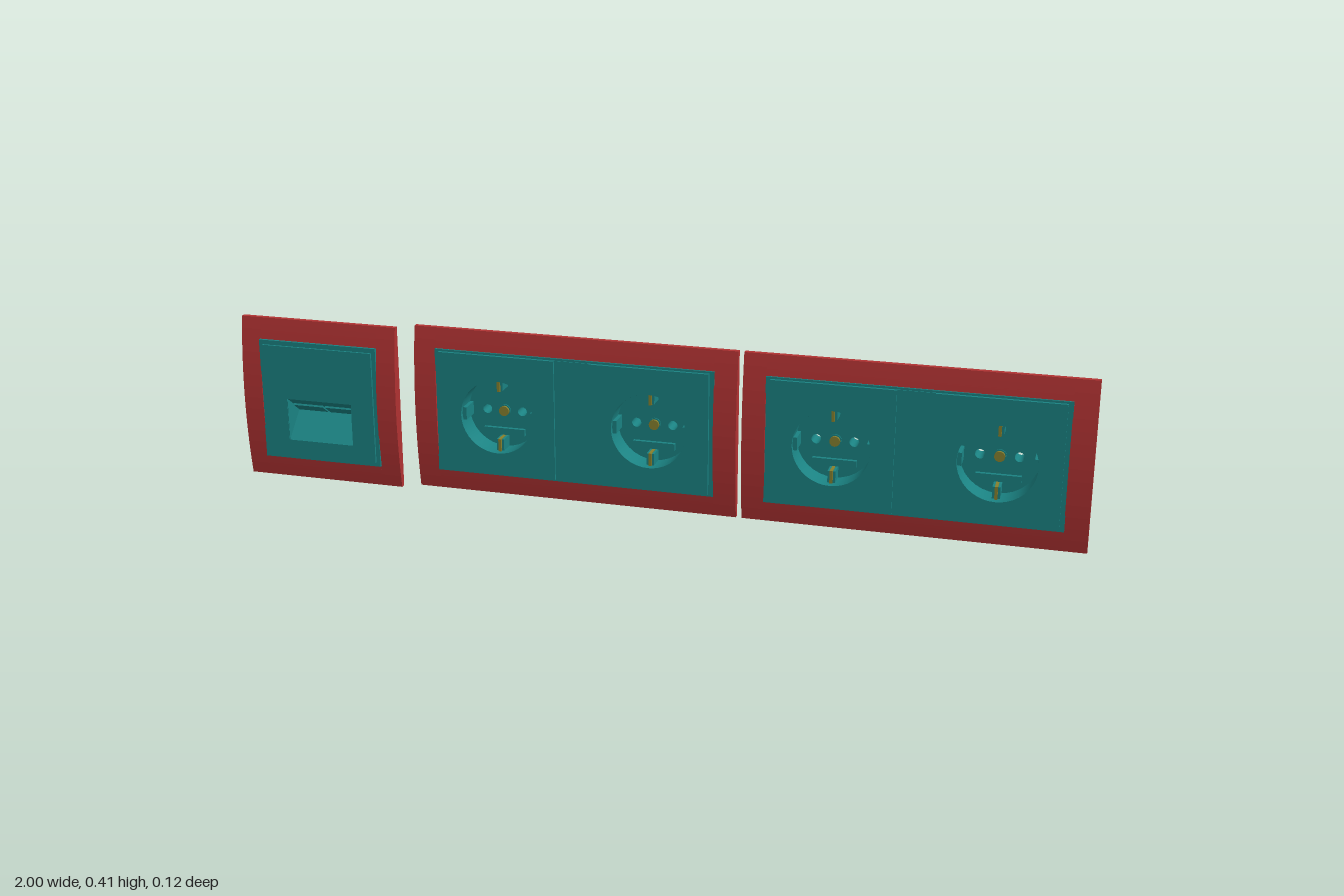
import * as THREE from 'three';

const teal = new THREE.MeshStandardMaterial({ color: 0x1a8282, side: THREE.DoubleSide });
const red = new THREE.MeshStandardMaterial({ color: 0xb03232 });
const brass = new THREE.MeshStandardMaterial({ color: 0x86802e });

function add(parent, name, geometry, material, x = 0, y = 0, z = 0) {
  const mesh = new THREE.Mesh(geometry, material);
  mesh.name = name;
  mesh.position.set(x, y, z);
  parent.add(mesh);
  return mesh;
}

// Box given by its size and the range it covers in z
function box(parent, name, material, w, h, z0, z1, x = 0, y = 0) {
  return add(parent, name, new THREE.BoxGeometry(w, h, z1 - z0), material, x, y, (z0 + z1) / 2);
}

// Cylinder lying along z
function rod(parent, name, material, r, z0, z1, x = 0, y = 0) {
  const g = new THREE.CylinderGeometry(r, r, z1 - z0, 16).rotateX(Math.PI / 2);
  return add(parent, name, g, material, x, y, (z0 + z1) / 2);
}

// Side profile of [z, y] points, extruded along x
function sideProfile(points, x0, x1) {
  const shape = new THREE.Shape(points.map(([z, y]) => new THREE.Vector2(-z, y)));
  return new THREE.ExtrudeGeometry(shape, { depth: x1 - x0, bevelEnabled: false })
    .rotateY(Math.PI / 2).translate(x0, 0, 0);
}

function rectShape(w, h, Type = THREE.Shape) {
  return new Type([[-1, -1], [1, -1], [1, 1], [-1, 1]].map(([a, b]) => new THREE.Vector2(a * w / 2, b * h / 2)));
}

function circlePath(x, y, r) {
  const p = new THREE.Path();
  p.absarc(x, y, r, 0, Math.PI * 2, true);
  return p;
}

function plate(shape, depth, curveSegments = 20) {
  return new THREE.ExtrudeGeometry(shape, { depth, bevelEnabled: false, curveSegments });
}

// Tube along z with an open bore
function tube(rOut, rIn, z0, z1, segments) {
  const pts = [[rIn, z0], [rOut, z0], [rOut, z1], [rIn, z1], [rIn, z0]].map(p => new THREE.Vector2(...p));
  return new THREE.LatheGeometry(pts, segments).rotateX(Math.PI / 2).toNonIndexed();
}

// Frame bowed from top to bottom; its back lies on z = 0
function coverFrame(w, h, openW, openH) {
  const frame = new THREE.Group();
  frame.name = 'coverFrame';
  const bar = (name, x0, x1, y0, y1) => {
    const pts = [[0, y0]];
    const steps = 14;
    for (let i = 0; i <= steps; i++) {
      const y = y0 + (y1 - y0) * i / steps;
      pts.push([0.012 + 0.016 * (1 - (2 * y / h) ** 2), y]);
    }
    pts.push([0, y1]);
    add(frame, name, sideProfile(pts, x0, x1), red);
  };
  for (const s of [-1, 1]) {
    const xs = [s * w / 2, s * openW / 2].sort((a, b) => a - b);
    const ys = [s * h / 2, s * openH / 2].sort((a, b) => a - b);
    bar(s < 0 ? 'rightFrameBar' : 'leftFrameBar', xs[0], xs[1], -h / 2, h / 2);
    bar(s < 0 ? 'bottomFrameBar' : 'topFrameBar', -openW / 2, openW / 2, ys[0], ys[1]);
  }
  return frame;
}

function socket() {
  const g = new THREE.Group();
  g.name = 'socket';
  // Face plate with the round opening
  const face = rectShape(0.28, 0.288);
  face.holes.push(circlePath(0, -0.004, 0.088));
  add(g, 'facePlate', plate(face, 0.014), teal, 0, 0, 0.046);

  const cup = new THREE.Group();
  cup.name = 'socketCup';
  cup.position.y = -0.004;
  g.add(cup);
  add(cup, 'cupWall', tube(0.093, 0.088, -0.003, 0.059, 32), teal);
  const floor = new THREE.Shape();
  floor.absarc(0, 0, 0.09, 0, Math.PI * 2);
  for (const s of [-1, 1]) floor.holes.push(circlePath(s * 0.043, 0, 0.011));
  add(cup, 'cupFloor', plate(floor, 0.006), teal, 0, 0, -0.003);

  // Pin sleeves, earth clips and guide ribs in mirrored pairs
  for (const s of [-1, 1]) {
    add(cup, 'pinSleeve', tube(0.0135, 0.011, -0.045, 0, 16), teal, s * 0.043);
    box(cup, 'earthClipHousing', teal, 0.02, 0.024, -0.045, 0, 0, s * 0.08);
    rod(cup, 'earthTerminal', brass, 0.0045, -0.06, -0.044, 0, s * 0.078);
    box(cup, 'earthClipHolder', teal, 0.018, 0.034, 0, 0.04, 0, s * 0.077);
    box(cup, 'earthClip', brass, 0.007, 0.03, 0, 0.045, 0, s * 0.073);
    box(cup, 'guideRib', teal, 0.012, 0.03, 0, 0.05, s * 0.084, 0);
  }
  rod(cup, 'screwBoss', teal, 0.015, -0.02, 0.006);
  rod(cup, 'centreScrew', brass, 0.012, 0, 0.012);
  box(cup, 'floorStep', teal, 0.1, 0.016, 0, 0.012, 0, -0.05);
  return g;
}

// Two sockets in one wide frame
function doubleOutlet(x) {
  const g = new THREE.Group();
  g.name = 'doubleOutlet';
  g.position.set(x, 0.2125, 0);
  const frame = coverFrame(0.77, 0.395, 0.664, 0.296);
  frame.position.z = 0.03;
  g.add(frame);
  for (const s of [-1, 1]) {
    const unit = socket();
    unit.position.x = s * 0.182;
    g.add(unit);
  }
  box(g, 'centreStrip', teal, 0.086, 0.288, 0.046, 0.055);
  const rim = rectShape(0.666, 0.298);
  rim.holes.push(rectShape(0.638, 0.28, THREE.Path));
  add(g, 'insertRim', plate(rim, 0.01), teal, 0, 0, 0.043);
  return g;
}

// Single frame with an angled data outlet
function dataOutlet() {
  const g = new THREE.Group();
  g.name = 'dataOutlet';
  g.position.set(-0.8035, 0.1985, 0.02);
  g.add(coverFrame(0.393, 0.397, 0.296, 0.292));
  const face = rectShape(0.278, 0.272);
  face.holes.push(new THREE.Path([[-0.083, -0.098], [0.083, -0.098], [0.083, 0.005], [-0.083, 0.005]]
    .map(p => new THREE.Vector2(...p))));
  add(g, 'facePlate', plate(face, 0.012), teal, 0, 0, 0.019);
  const rim = rectShape(0.298, 0.294);
  rim.holes.push(rectShape(0.27, 0.264, THREE.Path));
  add(g, 'insertRim', plate(rim, 0.01), teal, 0, 0, 0.016);

  // Ramp at the bottom, port plane at the top, triangular cheeks
  const front = 0.03, low = [front, -0.098], deep = [-0.03, -0.038], high = [front, 0.005];
  const ramp = [low, deep, [deep[0] - 0.004, deep[1]], [front - 0.005, -0.1]];
  const top = [deep, high, [front - 0.006, 0.006], [deep[0] - 0.004, deep[1]]];
  add(g, 'recessRamp', sideProfile(ramp, -0.083, 0.083), teal);
  add(g, 'portPlane', sideProfile(top, -0.083, 0.083), teal);
  for (const s of [-1, 1]) {
    add(g, 'recessCheek', sideProfile([low, high, deep], s * 0.083 - 0.001, s * 0.083 + 0.001), teal);
    const jack = add(g, 'jackBody', new THREE.BoxGeometry(0.076, 0.024, 0.036), teal, s * 0.041, -0.018, -0.015);
    jack.rotation.x = -0.62;
  }
  return g;
}

export function createModel() {
  const model = new THREE.Group();
  model.name = 'wallOutlets';
  model.add(dataOutlet(), doubleOutlet(-0.168), doubleOutlet(0.615));
  return model;
}
